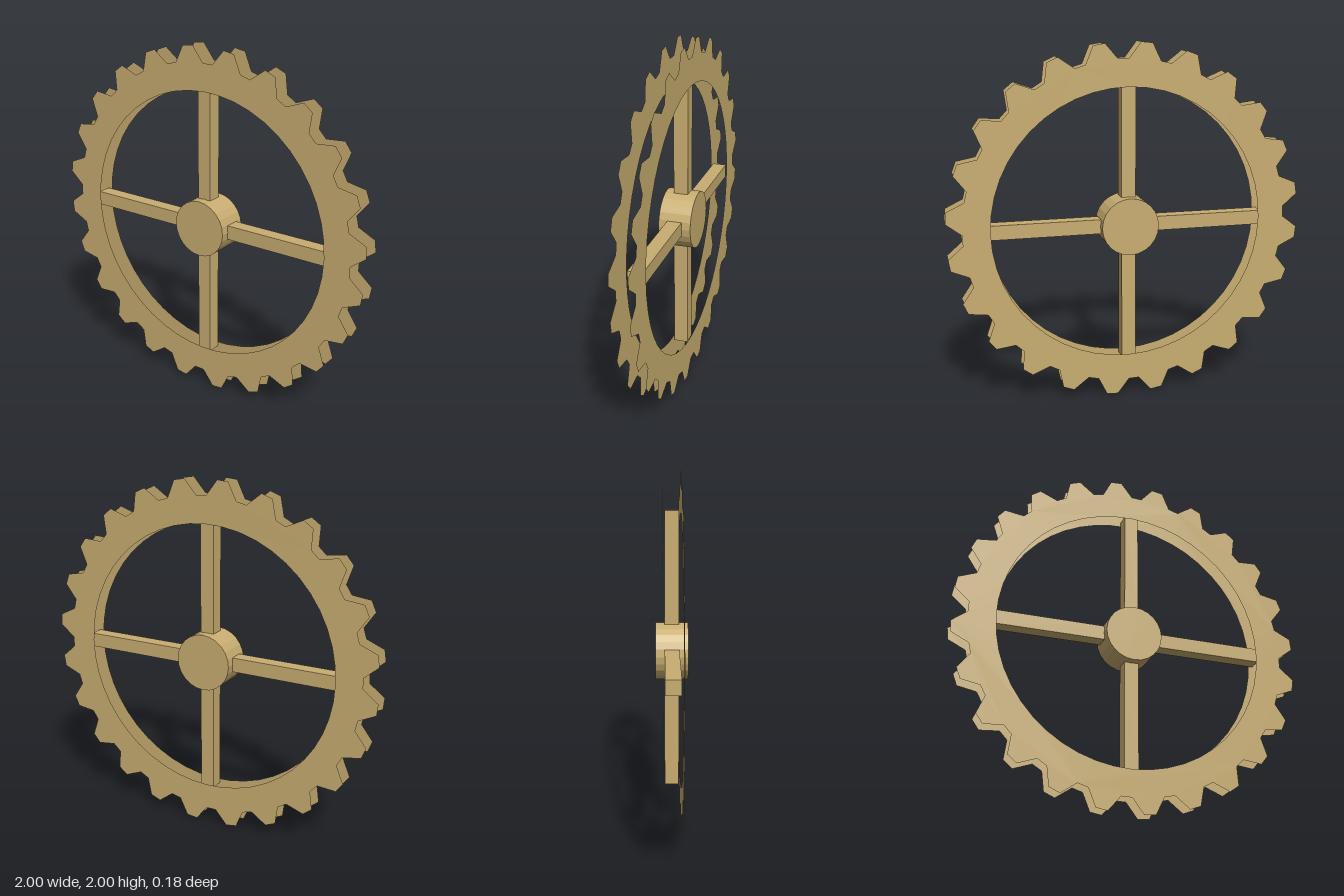
import * as THREE from 'three';

const TEETH = 24;
const TIP_R = 1.002, ROOT_R = 0.914, HOLE_R = 0.763;
const RIM_Z = 0.05;

// Toothed ring outline: two root corners and two tip corners per tooth
function gearShape() {
  const points = [];
  const count = TEETH * 4;
  for (let i = 0; i < count; i++) {
    const a = (i / count) * Math.PI * 2;
    const r = i % 4 === 1 || i % 4 === 2 ? TIP_R : ROOT_R;
    points.push(new THREE.Vector2(r * Math.cos(a), r * Math.sin(a)));
  }
  const shape = new THREE.Shape(points);
  shape.holes.push(new THREE.Path().absarc(0, 0, HOLE_R, 0, Math.PI * 2, true));
  return shape;
}

export function createModel() {
  const brass = new THREE.MeshStandardMaterial({ color: 0xc8ad70, flatShading: true });
  brass.name = 'brass';
  const brassSheet = brass.clone();
  brassSheet.name = 'brass sheet';
  brassSheet.side = THREE.DoubleSide;

  const wheel = new THREE.Group();
  wheel.name = 'gearWheel';
  const add = (name, geometry, material = brass) => {
    const mesh = new THREE.Mesh(geometry, material);
    mesh.name = name;
    wheel.add(mesh);
    return mesh;
  };

  // Rim: two open toothed plates with no wall between them
  const rim = new THREE.ShapeGeometry(gearShape(), 24);
  add('rimFront', rim, brassSheet).position.z = RIM_Z;
  const back = rim.clone().rotateY(Math.PI).scale(1, 1, 1);
  // Flip the back plate upright so its teeth line up with the front
  back.rotateZ(Math.PI).rotateX(Math.PI).rotateY(0);
  add('rimBack', back, brassSheet).position.z = -RIM_Z;

  // Hub
  add('hub', new THREE.CylinderGeometry(0.16, 0.16, 0.18, 24).rotateX(Math.PI / 2));

  // Four spokes from the hub into the rim
  const inner = 0.158, outer = 0.78;
  const spoke = new THREE.BoxGeometry(outer - inner, 0.08, 0.08).translate((inner + outer) / 2, 0, 0);
  for (let i = 0; i < 4; i++) add('spoke' + (i + 1), spoke).rotation.z = (i * Math.PI) / 2;

  wheel.position.y = 1;
  const model = new THREE.Group();
  model.name = 'model';
  model.add(wheel);
  return model;
}
